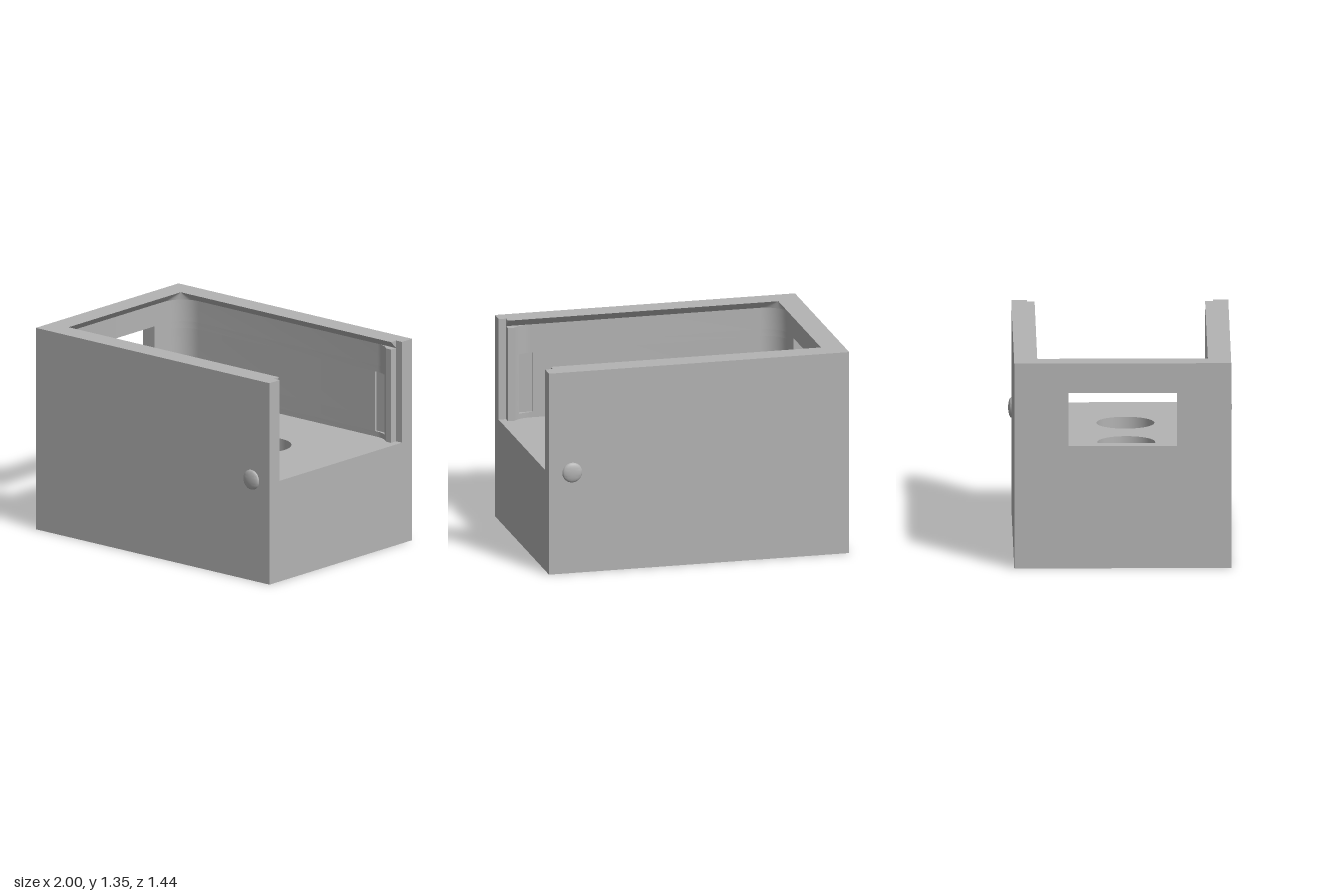
import * as THREE from 'three';
import { toCreasedNormals } from 'three/addons/utils/BufferGeometryUtils.js';

const FLOOR = 0.675, GROOVE = 1.3, TOP = 1.35;
const R = 0.16; // radius of the cavity's upright corners

// Extrude a plan outline of [x, z] points from y0 up to y1
function extrude(points, y0, y1, holes = []) {
  const shape = new THREE.Shape(points.map(([x, z]) => new THREE.Vector2(x, -z)));
  for (const [x, z, r] of holes) {
    const path = new THREE.Path();
    path.absarc(x, -z, r, 0, Math.PI * 2, true);
    shape.holes.push(path);
  }
  const geo = new THREE.ExtrudeGeometry(shape, { depth: y1 - y0, bevelEnabled: false, curveSegments: 32 });
  return geo.rotateX(-Math.PI / 2).translate(0, y0, 0);
}

function arc(cx, cz, a0, a1, n = 10) {
  return Array.from({ length: n + 1 }, (_, i) => {
    const a = a0 + (a1 - a0) * i / n;
    return [cx + R * Math.cos(a), cz + R * Math.sin(a)];
  });
}

const rearCorner = (zc) => [...arc(-0.74, 0.44, Math.PI / 2, Math.PI), [-0.9, zc]];

// Plan of one half of the wall; zc is where it stops towards the middle
function wallPlan(zc, recess) {
  const bend = Math.asin(0.11 / R);
  const end = recess
    ? [...arc(0.79, 0.44, bend, Math.PI / 3, 4), [0.87, 0.615], [0.77, 0.615], [0.77, 0.6]]
    : arc(0.79, 0.44, bend, Math.PI / 2);
  return [[-1, zc], [-1, 0.7], [1, 0.7], [1, 0.6], [0.95, 0.6], [0.95, 0.55], ...end, ...rearCorner(zc)];
}

// Rim whose inner face leans inwards to hold a sliding lid
function rimGeometry(side) {
  const plan = [[-1, 0], [-1, 0.7], [1, 0.7], [1, 0.6], [0.95, 0.6], [0.95, 0.599], ...rearCorner(0)];
  const geo = extrude(plan.map(([x, z]) => [x, z * side]), GROOVE, TOP);
  const p = geo.attributes.position;
  for (let i = 0; i < p.count; i++) {
    const x = p.getX(i), z = Math.abs(p.getZ(i));
    if (p.getY(i) < TOP - 0.01) continue;
    if (x > -0.95 && x < -0.7) {
      p.setX(i, -0.85);
      if (z > 0.4) p.setZ(i, 0.55 * side);
    } else if (x > 0.9 && x < 0.96 && z < 0.5995) {
      p.setZ(i, 0.55 * side);
    }
  }
  geo.computeVertexNormals();
  return geo;
}

export function createModel() {
  const model = new THREE.Group();
  model.name = 'slidingLidBox';
  const grey = new THREE.MeshStandardMaterial({ color: 0xb3b3b3 });
  grey.name = 'grey';

  const add = (name, geo, parent = model) => {
    const mesh = new THREE.Mesh(toCreasedNormals(geo, 0.5), grey);
    mesh.name = name;
    parent.add(mesh);
    return mesh;
  };

  // Solid base with two counterbored bolt holes
  const rect = [[-1, -0.7], [-1, 0.7], [1, 0.7], [1, -0.7]];
  const holes = (r) => [[-0.255, 0.03, r], [0.355, 0.03, r]];
  add('lowerBase', extrude(rect, 0, 0.34, holes(0.1)));
  add('upperBase', extrude(rect, 0.34, FLOOR, holes(0.187)));

  // Walls in courses: [bottom, top, has window, has recess]
  const courses = [
    [FLOOR, 0.71, false, false],
    [0.71, 0.805, false, true],
    [0.805, 1.11, true, true],
    [1.11, 1.155, true, false],
    [1.155, GROOVE, false, false],
  ];
  for (const side of [1, -1]) {
    const wall = new THREE.Group();
    wall.name = side > 0 ? 'frontWall' : 'backWall';
    model.add(wall);
    for (const [y0, y1, hasWindow, recess] of courses) {
      const plan = wallPlan(hasWindow ? 0.35 : 0, recess).map(([x, z]) => [x, z * side]);
      add('wallCourse', extrude(plan, y0, y1), wall);
    }
    add('lidRim', rimGeometry(side), wall);

    // Domed button on the outside
    const button = add('button', new THREE.SphereGeometry(0.066, 32, 20).scale(1, 1, 0.33), wall);
    button.position.set(0.845, FLOOR, 0.7 * side);
  }
  return model;
}
